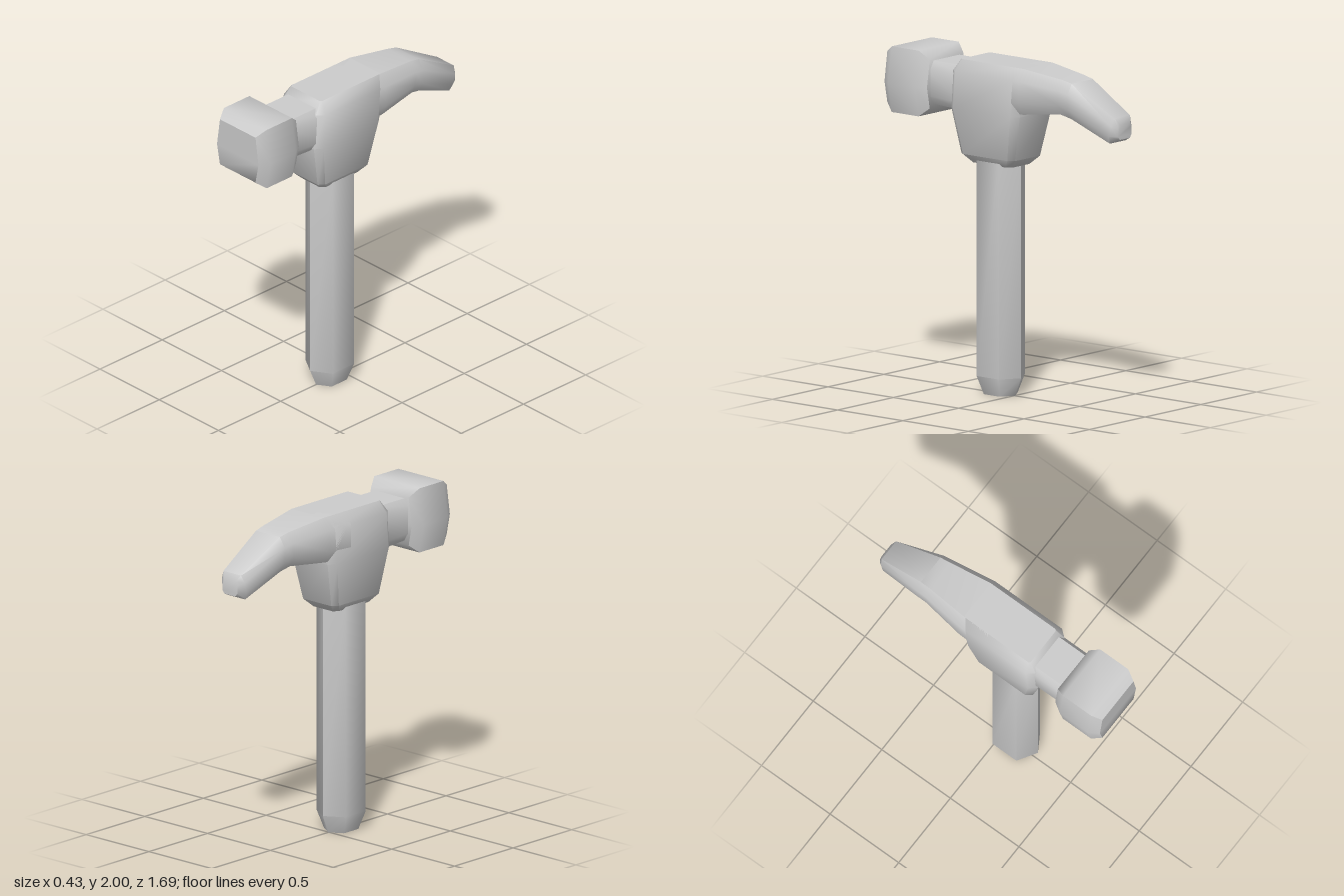
import * as THREE from 'three';
import { toCreasedNormals } from 'three/addons/utils/BufferGeometryUtils.js';

const steel = new THREE.MeshStandardMaterial({ color: 0xcccccc });
steel.name = 'light grey';

// Skins a stack of closed rings (counterclockwise about the stacking direction) and caps both ends.
function loft(name, rings, crease) {
  const n = rings[0].length;
  const pos = [];
  const tri = (...pts) => pts.forEach((p) => pos.push(...p));
  for (let r = 0; r < rings.length - 1; r++) {
    for (let i = 0; i < n; i++) {
      const j = (i + 1) % n;
      const [a, b, c, d] = [rings[r][i], rings[r][j], rings[r + 1][j], rings[r + 1][i]];
      tri(a, b, c);
      tri(a, c, d);
    }
  }
  const first = rings[0], last = rings[rings.length - 1];
  for (let i = 1; i < n - 1; i++) {
    tri(first[0], first[i + 1], first[i]);
    tri(last[0], last[i], last[i + 1]);
  }
  const geometry = new THREE.BufferGeometry();
  geometry.setAttribute('position', new THREE.Float32BufferAttribute(pos, 3));
  const mesh = new THREE.Mesh(toCreasedNormals(geometry, crease), steel);
  mesh.name = name;
  return mesh;
}

// Upright octagonal section; z may differ between its top and bottom edge.
function zRing(zTop, zBottom, top, bottom, half, topHalf, bottomHalf, bevel) {
  const at = (x, y) => [x, y, zBottom + (zTop - zBottom) * (y - bottom) / (top - bottom)];
  return [
    at(half, bottom + bevel), at(half, top - bevel),
    at(topHalf, top), at(-topHalf, top),
    at(-half, top - bevel), at(-half, bottom + bevel),
    at(-bottomHalf, bottom), at(bottomHalf, bottom),
  ];
}

export function createModel() {
  const hammer = new THREE.Group();
  hammer.name = 'hammer';

  // Hexagonal handle with a ridge front and back and a tapered butt
  const handleRing = (y, rx, rz) => [
    [0, rz], [rx, rz * 0.55], [rx, -rz * 0.55], [0, -rz], [-rx, -rz * 0.55], [-rx, rz * 0.55],
  ].map(([x, z]) => [x, y, z + 0.105]);
  hammer.add(loft('handle', [
    handleRing(0, 0.08, 0.11), handleRing(0.11, 0.115, 0.157), handleRing(1.45, 0.115, 0.157),
  ], 1.05));

  // Central socket, widening upwards from the handle
  const socketRing = (y, back, front, half, bevel) => {
    const inner = half - bevel * 0.8;
    return [
      [inner, front], [half, front - bevel], [half, back + bevel], [inner, back],
      [-inner, back], [-half, back + bevel], [-half, front - bevel], [-inner, front],
    ].map(([x, z]) => [x, y, z]);
  };
  hammer.add(loft('socket', [
    socketRing(1.37, -0.05, 0.26, 0.10, 0.03),
    socketRing(1.42, -0.10, 0.31, 0.14, 0.035),
    socketRing(1.69, -0.16, 0.365, 0.175, 0.045),
    socketRing(1.91, -0.18, 0.35, 0.175, 0.045),
    socketRing(1.98, -0.18, 0.30, 0.13, 0.01),
  ], 0.9));

  // Curved claw, from the tip to the socket
  hammer.add(loft('claw', [
    zRing(-0.845, -0.845, 1.72, 1.63, 0.06, 0.045, 0.045, 0.02),
    zRing(-0.825, -0.79, 1.758, 1.605, 0.09, 0.07, 0.07, 0.045),
    zRing(-0.52, -0.52, 1.93, 1.722, 0.135, 0.095, 0.10, 0.06),
    zRing(-0.45, -0.45, 1.945, 1.74, 0.14, 0.10, 0.11, 0.06),
    zRing(-0.18, -0.18, 1.98, 1.71, 0.175, 0.13, 0.14, 0.07),
    zRing(0, 0, 1.98, 1.70, 0.175, 0.13, 0.14, 0.07),
  ], 0.9));

  // Neck between socket and striking head
  hammer.add(loft('neck', [
    zRing(0.27, 0.27, 1.94, 1.67, 0.145, 0.115, 0.115, 0.05),
    zRing(0.56, 0.56, 1.94, 1.685, 0.145, 0.115, 0.115, 0.05),
  ], 0.9));

  // Striking head with bulging sides and bevelled ends
  const headRing = (z, top, bottom, end, middle) => [
    [middle, 1.785], [end, top], [-end, top], [-middle, 1.785], [-end, bottom], [end, bottom],
  ].map(([x, y]) => [x, y, z]);
  hammer.add(loft('strikingHead', [
    headRing(0.52, 1.95, 1.66, 0.15, 0.175),
    headRing(0.58, 2, 1.61, 0.18, 0.213),
    headRing(0.785, 2, 1.61, 0.18, 0.213),
    headRing(0.845, 1.96, 1.66, 0.15, 0.175),
  ], 0.98));

  return hammer;
}
